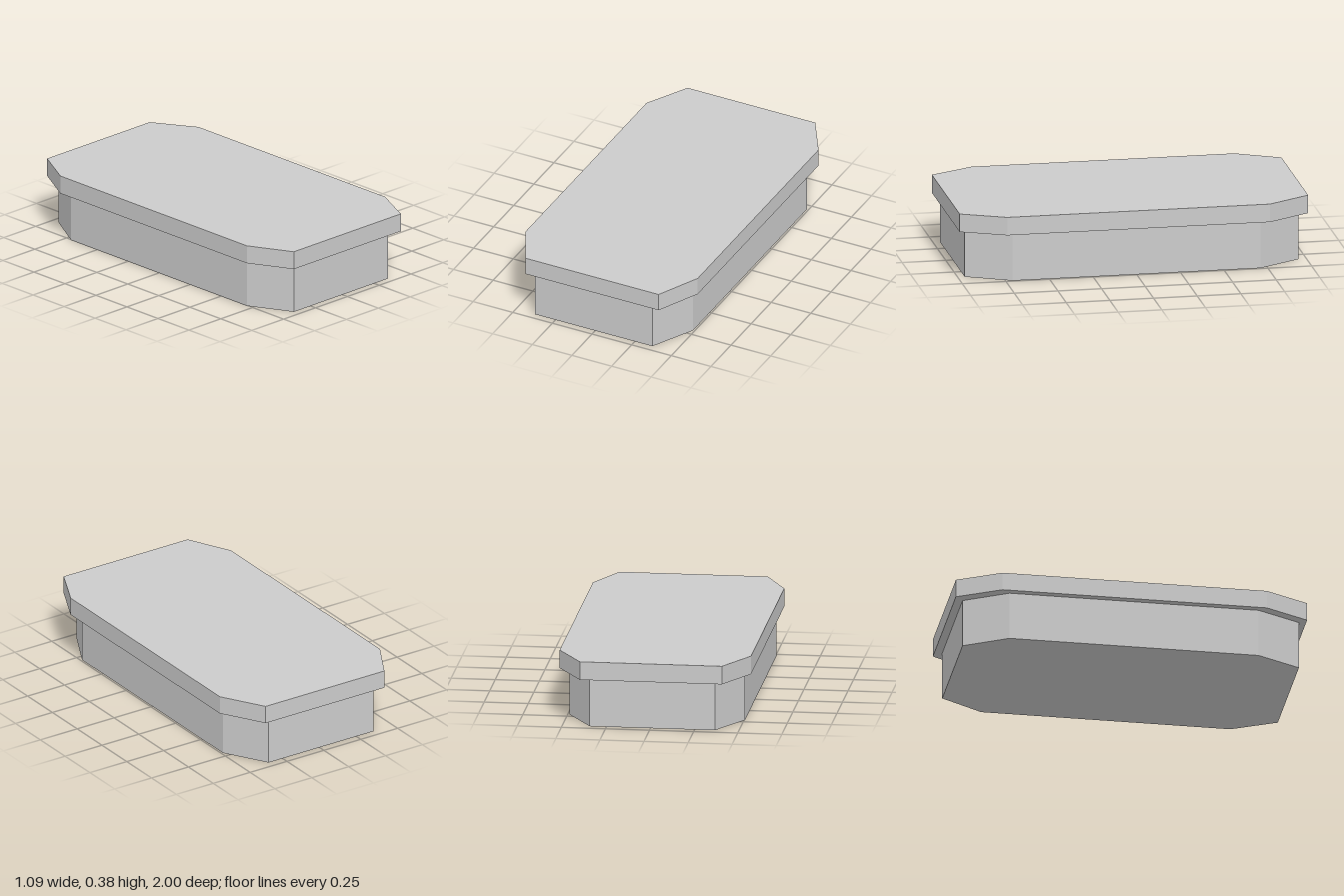
import * as THREE from 'three';

const material = new THREE.MeshStandardMaterial({ color: 0xcccccc, flatShading: true });

// Upright slab from an [x, z] outline
function slab(name, outline, bottom, top) {
  const shape = new THREE.Shape(outline.map(([x, z]) => new THREE.Vector2(x, -z)));
  const geometry = new THREE.ExtrudeGeometry(shape, { depth: top - bottom, bevelEnabled: false });
  geometry.rotateX(-Math.PI / 2).translate(0, bottom, 0);
  const mesh = new THREE.Mesh(geometry, material);
  mesh.name = name;
  return mesh;
}

export function createModel() {
  const group = new THREE.Group();
  group.name = 'choppedCornerBox';

  // Recessed body with chamfered corners
  group.add(slab('body', [
    [-0.38, 0.96], [0.36, 0.96], [0.49, 0.71], [0.49, -0.71],
    [0.345, -0.955], [-0.365, -0.955], [-0.505, -0.71], [-0.505, 0.71],
  ], 0, 0.28));

  // Overhanging lid
  group.add(slab('lid', [
    [-0.42, 1], [0.42, 1], [0.54, 0.75], [0.54, -0.755],
    [0.395, -1], [-0.41, -1], [-0.545, -0.755], [-0.545, 0.75],
  ], 0.28, 0.385));

  return group;
}
